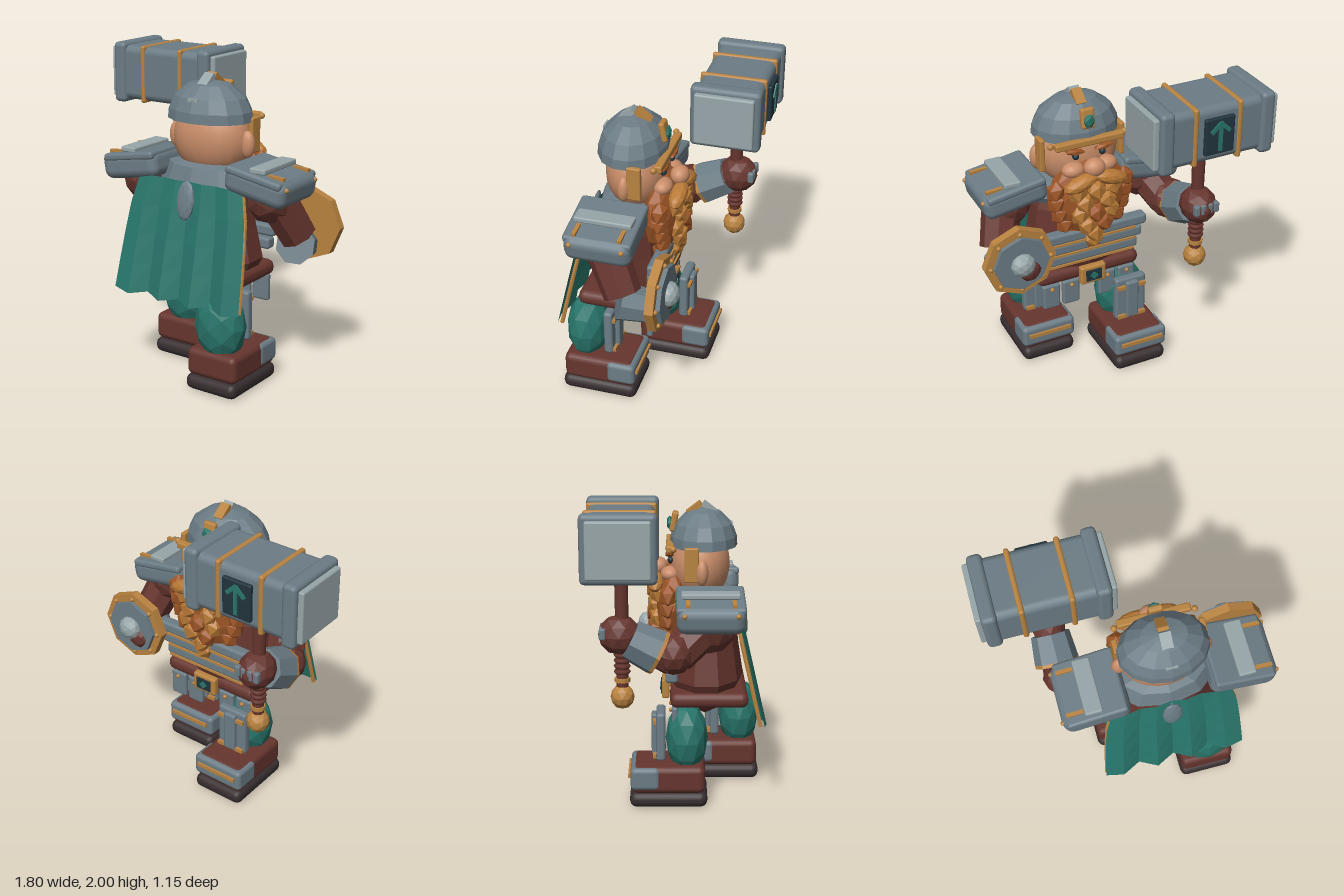
import * as THREE from 'three';
import { RoundedBoxGeometry } from 'three/addons/geometries/RoundedBoxGeometry.js';

const CX = 0.13; // body centre line

export function createModel() {
  const root = new THREE.Group();
  root.name = 'armouredWarrior';
  const paint = (name, color, side = THREE.FrontSide) => {
    const m = new THREE.MeshStandardMaterial({ color, side });
    m.name = name;
    return m;
  };
  const steel = paint('steel', 0x6c7c85), silver = paint('silver', 0x98a6a9);
  const gold = paint('gold', 0xb98340), leather = paint('leather', 0x66352e);
  const sole = paint('sole', 0x372d2f), teal = paint('teal', 0x28756a, THREE.DoubleSide);
  const skin = paint('skin', 0xc98d69), beardDark = paint('beardDark', 0x9c5526);
  const beardLight = paint('beardLight', 0xb97a36), navy = paint('navy', 0x22343d);

  const add = (name, geo, mat, x = 0, y = 0, z = 0, parent = root) => {
    const m = new THREE.Mesh(geo, mat);
    m.name = name;
    m.position.set(x, y, z);
    parent.add(m);
    return m;
  };
  const flat = (geo) => {
    const g = geo.index ? geo.toNonIndexed() : geo;
    g.computeVertexNormals();
    return g;
  };
  const rbox = (w, h, d, r = 0.03) =>
    new RoundedBoxGeometry(w, h, d, 2, Math.min(r, w * 0.45, h * 0.45, d * 0.45));
  const box = (w, h, d) => new THREE.BoxGeometry(w, h, d);
  const lump = (rx, ry, rz, detail = 1) => flat(new THREE.IcosahedronGeometry(1, detail).scale(rx, ry, rz));
  const ball = (rx, ry = rx, rz = rx) => new THREE.SphereGeometry(1, 20, 14).scale(rx, ry, rz);
  const lathe = (pts, sides, sx, sy, sz) => flat(
    new THREE.LatheGeometry(pts.map(p => new THREE.Vector2(p[0], p[1])), sides).scale(sx, sy, sz));
  // Faceted cylinder from point a to point b
  const limb = (name, a, b, ra, rb, mat, sides = 8) => {
    const A = new THREE.Vector3(...a), B = new THREE.Vector3(...b), d = B.clone().sub(A);
    const m = add(name, flat(new THREE.CylinderGeometry(rb, ra, d.length(), sides)), mat);
    m.position.copy(A).addScaledVector(d, 0.5);
    m.quaternion.setFromUnitVectors(new THREE.Vector3(0, 1, 0), d.normalize());
    return m;
  };

  // Legs and boots, one foot set forward
  for (const [side, x, z] of [['right', -0.125, -0.05], ['left', 0.385, 0.31]]) {
    add(side + 'Sole', rbox(0.37, 0.1, 0.5, 0.045), sole, x, 0.055, z);
    add(side + 'Boot', rbox(0.36, 0.18, 0.47, 0.04), leather, x, 0.19, z);
    add(side + 'ToeCap', rbox(0.375, 0.15, 0.19, 0.03), steel, x, 0.2, z - 0.15);
    add(side + 'ToeTrim', box(0.3, 0.025, 0.02), gold, x, 0.215, z - 0.25);
    add(side + 'Trouser', lump(0.17, 0.24, 0.137), teal, x, 0.43, z + 0.117);
    add(side + 'ShinPlate', rbox(0.22, 0.32, 0.06, 0.02), steel, x, 0.46, z - 0.05);
    add(side + 'ShinRidge', rbox(0.09, 0.28, 0.04, 0.015), steel, x, 0.46, z - 0.09);
    for (const y of [0.33, 0.56]) add(side + 'ShinTrim', box(0.2, 0.025, 0.02), gold, x, y, z - 0.09);
  }

  // Torso, belt and hanging plates
  add('torso', lathe([[0, 0.51], [0.15, 0.58], [0.31, 0.7], [0.36, 0.8], [0.315, 1.0], [0.29, 1.15], [0.25, 1.25], [0, 1.3]],
    10, 1.04, 1, 0.69), leather, CX, 0, 0.19);
  add('belt', rbox(0.72, 0.1, 0.5, 0.045), leather, CX, 0.7, 0.21);
  add('buckle', rbox(0.18, 0.13, 0.05, 0.015), gold, CX, 0.7, -0.07);
  add('buckleInset', box(0.11, 0.08, 0.008), navy, CX, 0.7, -0.098);
  add('buckleGem', box(0.04, 0.04, 0.008), teal, CX, 0.7, -0.104).rotation.z = Math.PI / 4;
  for (const dx of [-0.27, -0.13, 0.13, 0.27]) {
    add('skirtPlate', rbox(0.12, 0.18, 0.04, 0.015), steel, CX + dx, 0.56, -0.01);
    add('skirtStud', ball(0.014), gold, CX + dx, 0.62, -0.035);
  }
  for (let i = 0; i < 3; i++) {
    add('chestBand', rbox(0.66 + i * 0.055, 0.075, 0.08, 0.02), steel, CX, 0.85 + i * 0.085, -0.03 - i * 0.01);
    add('chestTrim', box(0.6, 0.014, 0.012), gold, CX, 0.815 + i * 0.085, -0.073 - i * 0.01);
  }

  // Collar and back pendant
  add('collar', lathe([[0.3, 1.2], [0.34, 1.25], [0.28, 1.37], [0.2, 1.39], [0, 1.39]], 10, 1, 1, 0.62), steel, CX, 0, 0.19);
  add('backPendant', lump(0.065, 0.125, 0.024), steel, CX, 1.18, 0.437).rotation.x = -0.15;

  // Pleated cape with gilded rods along its side edges
  const cols = 8, rows = 4, pos = [], idx = [];
  const capePoint = (i, j) => {
    const u = i / cols - 0.5, t = j / rows, odd = i % 2;
    return [CX + u * (0.76 + 0.18 * Math.sqrt(t)), 1.29 - t * (odd ? 0.74 : 0.72),
      0.39 + 0.13 * t + odd * 0.055 * (0.25 + 0.75 * t) + (i % cols ? 0 : 0.035 * t)];
  };
  for (let j = 0; j <= rows; j++) for (let i = 0; i <= cols; i++) pos.push(...capePoint(i, j));
  for (let j = 0; j < rows; j++) for (let i = 0; i < cols; i++) {
    const a = j * (cols + 1) + i, b = a + cols + 1;
    idx.push(a, b, a + 1, b, b + 1, a + 1);
  }
  const capeGeo = new THREE.BufferGeometry();
  capeGeo.setAttribute('position', new THREE.Float32BufferAttribute(pos, 3));
  capeGeo.setIndex(idx);
  add('cape', flat(capeGeo), teal);
  for (const i of [0, cols]) for (let j = 0; j < rows; j++) {
    const inset = p => [p[0] + (i ? -0.012 : 0.012), p[1], p[2] - 0.025];
    limb('capeTrim', inset(capePoint(i, j)), inset(capePoint(i, j + 1)), 0.014, 0.014, gold, 6);
  }

  // Head, ears, nose, cheeks, eyes and brows
  add('head', ball(0.265, 0.25, 0.195), skin, CX, 1.53, 0.15);
  add('nose', ball(0.07, 0.06, 0.06), skin, CX, 1.51, -0.115);
  for (const s of [-1, 1]) {
    add('ear', ball(0.05, 0.085, 0.04), skin, CX + s * 0.265, 1.515, 0.16);
    add('cheek', ball(0.075, 0.05, 0.06), skin, CX + s * 0.11, 1.48, -0.04);
    add('eye', ball(0.022), navy, CX + s * 0.09, 1.565, -0.035);
    add('eyebrow', lump(0.075, 0.022, 0.03, 0), beardDark, CX + s * 0.1, 1.605, -0.045).rotation.z = s * 0.15;
    add('cheekGuard', rbox(0.035, 0.22, 0.09, 0.01), gold, CX + s * 0.272, 1.565, 0.095);
    add('helmetStud', ball(0.02), gold, CX + s * 0.25, 1.66, -0.02);
  }

  // Helmet with crest and brow band
  add('helmet', lathe([[0, 0], [1, 0], [0.98, 0.25], [0.84, 0.58], [0.5, 0.88], [0, 1]], 14, 0.285, 0.245, 0.217),
    steel, CX, 1.65, 0.175);
  add('browBand', rbox(0.46, 0.045, 0.05, 0.01), gold, CX, 1.655, -0.04);
  add('crestBack', box(0.07, 0.035, 0.11), silver, CX, 1.885, 0.215).rotation.x = 0.65;
  add('crestFront', box(0.065, 0.035, 0.11), gold, CX, 1.885, 0.115).rotation.x = -0.65;
  add('rearRivet', box(0.075, 0.025, 0.03), silver, CX, 1.785, 0.345);
  add('browOrnament', rbox(0.09, 0.13, 0.04, 0.015), gold, CX, 1.8, -0.015).rotation.x = 0.2;
  add('browGem', lump(0.04, 0.05, 0.02, 0), teal, CX, 1.79, -0.042);

  // Beard: base mass covered with rows of large curls
  add('beard', lump(0.28, 0.28, 0.125, 1), beardDark, CX, 1.27, -0.02);
  for (let r = 0; r < 5; r++) {
    const half = 0.235 * Math.cos(r * 0.25), n = 5 - (r % 2) - (r > 3 ? 2 : 0);
    for (let k = 0; k < n; k++) {
      const u = (k / (n - 1)) * 2 - 1;
      const mat = Math.abs(u) < 0.9 && (k + r) % 4 ? beardLight : beardDark;
      add('beardCurl', lump(0.064, 0.078, 0.06, 0), mat,
        CX + u * half, 1.36 - r * 0.08, -0.138 + 0.085 * u * u + (r > 3 ? 0.03 : 0)).rotation.z = u * 0.5;
    }
  }
  add('beardTip', lump(0.07, 0.075, 0.055, 0), beardLight, CX, 0.985, -0.09);
  for (const s of [-1, 1]) {
    add('moustache', lump(0.12, 0.05, 0.055), beardLight, CX + s * 0.1, 1.43, -0.135).rotation.z = -s * 0.3;
  }

  // Shoulder plates, sloping outward
  for (const s of [-1, 1]) {
    const g = new THREE.Group();
    g.name = s < 0 ? 'rightShoulderPlate' : 'leftShoulderPlate';
    g.position.set(CX + s * 0.465, 1.325, 0.21);
    g.rotation.z = -s * 0.17;
    root.add(g);
    add('shoulderPad', rbox(0.43, 0.17, 0.42, 0.06), steel, 0, 0, 0, g);
    add('upperPlate', rbox(0.39, 0.05, 0.425, 0.02), steel, -s * 0.01, 0.06, 0, g);
    add('shoulderRidge', rbox(0.11, 0.035, 0.36, 0.01), silver, 0, 0.1, 0, g).rotation.z = s * 0.17;
    for (const dz of [-0.14, 0.14]) {
      add('shoulderTrim', box(0.11, 0.02, 0.025), gold, s * 0.115, 0.09, dz, g).rotation.z = s * 0.1;
      add('shoulderStud', ball(0.016), gold, s * 0.205, 0.045, dz * 1.15, g);
    }
  }

  // Left arm, carrying the shield
  add('leftShoulder', lump(0.16, 0.17, 0.17), leather, 0.6, 1.23, 0.2);
  limb('leftUpperArm', [0.62, 1.25, 0.21], [0.715, 0.975, 0.075], 0.13, 0.118, leather);
  limb('leftBracer', [0.71, 0.92, 0.1], [0.645, 0.865, -0.09], 0.125, 0.105, steel);
  add('leftFist', lump(0.09, 0.09, 0.08), leather, 0.61, 0.93, -0.15);

  // Octagonal shield facing forward
  const disc = (r, d, sides = 8) =>
    flat(new THREE.CylinderGeometry(r, r, d, sides).rotateY(Math.PI / sides).rotateX(Math.PI / 2));
  const SX = 0.66, SY = 0.995;
  add('shieldRim', disc(0.238, 0.055), gold, SX, SY, -0.14).rotation.z = Math.PI / 8;
  add('shieldFace', disc(0.185, 0.03), steel, SX, SY, -0.18).rotation.z = Math.PI / 8;
  add('shieldBoss', lump(0.08, 0.08, 0.06), silver, SX, SY, -0.205);
  for (let k = 0; k < 8; k++) {
    const a = k * Math.PI / 4;
    add('shieldStud', ball(0.015), gold, SX + Math.cos(a) * 0.2, SY + Math.sin(a) * 0.2, -0.172);
  }

  // Right arm, gripping the hammer
  const HX = -0.48, HZ = -0.33;
  add('rightShoulder', lump(0.16, 0.17, 0.17), leather, -0.33, 1.22, 0.2);
  limb('rightUpperArm', [-0.34, 1.25, 0.2], [-0.44, 1.07, 0], 0.13, 0.12, leather);
  add('rightElbow', lump(0.14, 0.135, 0.13), leather, -0.455, 1.085, -0.02);
  limb('rightForearm', [-0.46, 1.07, -0.02], [HX, 1.21, HZ], 0.125, 0.09, leather);
  limb('rightBracer', [-0.48, 1.1, -0.12], [HX, 1.18, -0.28], 0.143, 0.125, steel);
  limb('rightBracerTrim', [-0.48, 1.09, -0.1], [-0.48, 1.1, -0.12], 0.142, 0.142, gold);
  add('rightFist', lump(0.115, 0.125, 0.13), leather, HX, 1.21, HZ - 0.015);
  for (let k = 0; k < 4; k++) {
    add('fingerPlate', rbox(0.038, 0.07, 0.04, 0.01), steel, HX - 0.068 + k * 0.045, 1.23, HZ - 0.115);
  }

  // Hammer handle, grip and pommel
  add('hammerHandle', new THREE.CylinderGeometry(0.043, 0.036, 0.77, 20), leather, HX, 1.265, HZ);
  for (let k = 0; k < 5; k++) {
    add('gripRing', new THREE.TorusGeometry(0.038, 0.014, 6, 12).rotateX(Math.PI / 2), leather, HX, 0.98 + k * 0.035, HZ);
  }
  limb('gripCollar', [HX, 0.915, HZ], [HX, 0.94, HZ], 0.048, 0.048, gold, 10);
  add('pommel', lump(0.074, 0.078, 0.074), gold, HX, 0.82, HZ);

  // Hammer head with collars, striking faces and bands
  const HY = 1.797;
  add('hammerHead', rbox(0.68, 0.365, 0.41, 0.05), steel, HX, HY, HZ);
  for (const s of [-1, 1]) {
    add('hammerCollar', rbox(0.095, 0.406, 0.445, 0.03), steel, HX + s * 0.34, HY, HZ);
    add('strikingFace', rbox(0.07, 0.335, 0.375, 0.012), silver, HX + s * 0.385, HY, HZ);
    add('hammerBand', rbox(0.035, 0.383, 0.425, 0.015), gold, HX + s * 0.15, HY, HZ);
  }
  // Ornament plate on the hammer's forward side
  add('ornamentPlate', rbox(0.2, 0.24, 0.03, 0.01), navy, HX, HY, HZ - 0.218);
  add('ornamentStem', box(0.026, 0.19, 0.009), teal, HX, HY, HZ - 0.238);
  for (const s of [-1, 1]) {
    add('ornamentBranch', box(0.026, 0.09, 0.009), teal, HX + s * 0.03, HY + 0.06, HZ - 0.238).rotation.z = s * 0.8;
  }
  return root;
}
